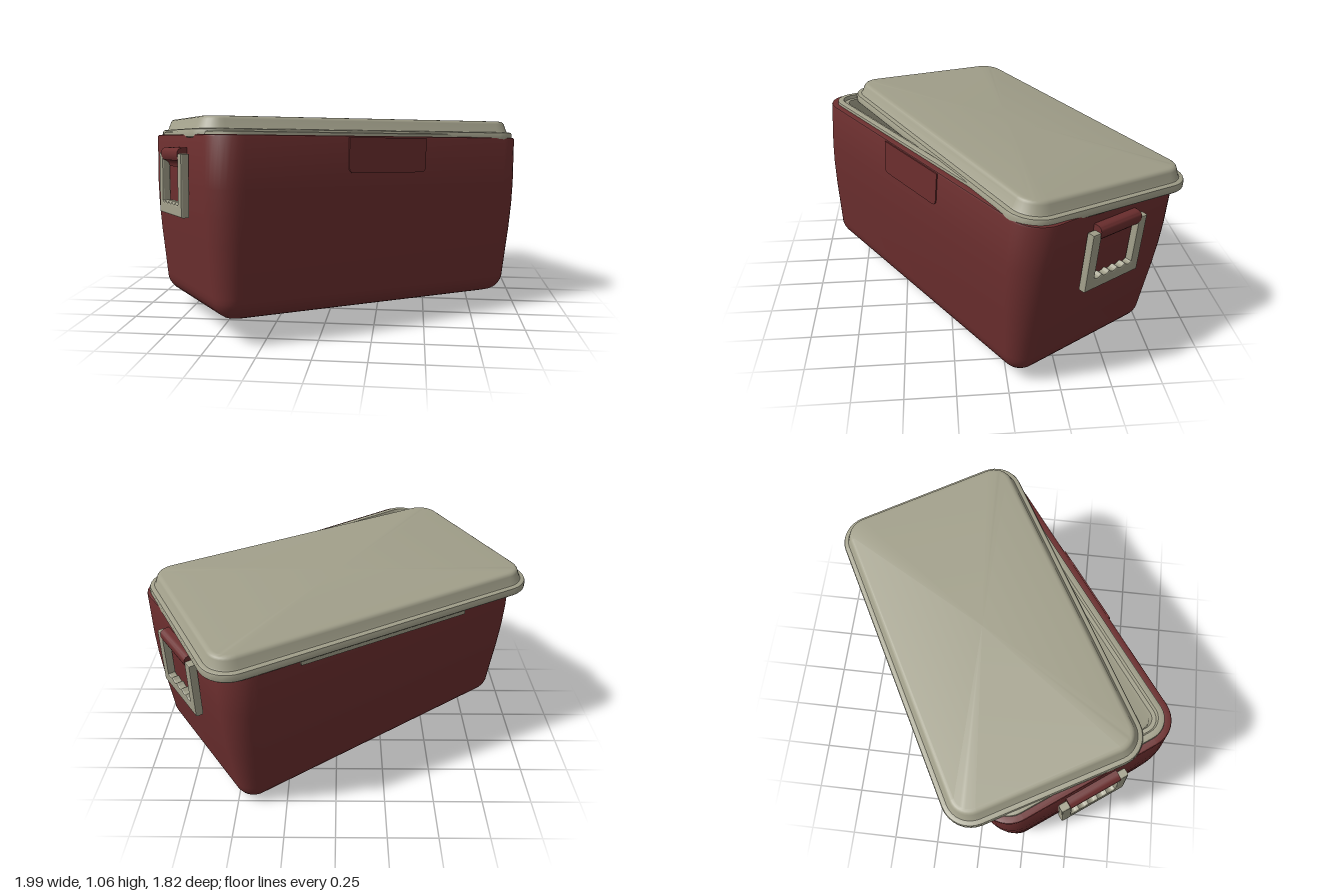
import * as THREE from 'three';
import { toCreasedNormals } from 'three/addons/utils/BufferGeometryUtils.js';

const red = new THREE.MeshStandardMaterial({ color: 0x6b2e2e });
red.name = 'dark red plastic';
const beige = new THREE.MeshStandardMaterial({ color: 0xa19f8a });
beige.name = 'beige plastic';

const HX = 0.905, HZ = 0.515, R = 0.15;

// Rounded rectangle ring, shrunk by an inset
function ring(y, inset, steps = 8) {
  const r = Math.max(R - inset, 0.05), cx = HX - inset - r, cz = HZ - inset - r;
  const pts = [];
  [[1, 1], [-1, 1], [-1, -1], [1, -1]].forEach(([sx, sz], q) => {
    for (let k = 0; k <= steps; k++) {
      const a = (q + k / steps) * Math.PI / 2;
      pts.push([sx * cx + r * Math.cos(a), y, sz * cz + r * Math.sin(a)]);
    }
  });
  return pts;
}

// Skin over [y, inset] sections, with optional caps at either end
function loft(sections, capStart, capEnd) {
  const rings = sections.map(([y, inset]) => ring(y, inset));
  const n = rings[0].length, pos = rings.flat(2), idx = [];
  for (let i = 0; i < rings.length - 1; i++) {
    for (let j = 0; j < n; j++) {
      const a = i * n + j, b = i * n + (j + 1) % n;
      idx.push(a, a + n, b, b, a + n, b + n);
    }
  }
  const cap = (i, flip) => {
    const c = pos.length / 3;
    pos.push(0, sections[i][0], 0);
    for (let j = 0; j < n; j++) {
      const a = i * n + j, b = i * n + (j + 1) % n;
      idx.push(c, flip ? b : a, flip ? a : b);
    }
  };
  if (capStart) cap(0, false);
  if (capEnd) cap(rings.length - 1, true);
  const g = new THREE.BufferGeometry();
  g.setAttribute('position', new THREE.Float32BufferAttribute(pos, 3));
  g.setIndex(idx);
  return toCreasedNormals(g, 0.6);
}

function add(parent, geometry, material, name) {
  const m = new THREE.Mesh(geometry, material);
  m.name = name;
  parent.add(m);
  return m;
}

// Swinging handle outline with finger grips along the lower bar
function handleShape() {
  const w = 0.178, i = 0.138, top = 0.765, low = 0.475, bar = 0.515;
  const s = new THREE.Shape();
  s.moveTo(-w, top);
  s.lineTo(-w, low);
  s.lineTo(w, low);
  s.lineTo(w, top);
  s.lineTo(i, top);
  s.lineTo(i, bar + 0.012);
  const grips = 5, step = 2 * i / grips;
  for (let k = 0; k < grips; k++) {
    const x = i - k * step;
    s.quadraticCurveTo(x - step / 2, bar - 0.012, x - step, bar + 0.012);
  }
  s.lineTo(-i, top);
  s.closePath();
  return s;
}

function endFittings() {
  const g = new THREE.Group();
  // Bracket that the handle hangs from
  const p = new THREE.Shape();
  p.moveTo(0.88, 0.70);
  p.lineTo(0.912, 0.705);
  p.quadraticCurveTo(0.92, 0.735, 0.945, 0.738);
  p.quadraticCurveTo(0.962, 0.765, 0.95, 0.79);
  p.quadraticCurveTo(0.94, 0.802, 0.92, 0.802);
  p.lineTo(0.88, 0.802);
  p.closePath();
  const bracket = new THREE.ExtrudeGeometry(p, { depth: 0.28, bevelEnabled: false, curveSegments: 6 });
  bracket.translate(0, 0, -0.14);
  add(g, toCreasedNormals(bracket, 0.6), red, 'handleBracket');
  const handle = new THREE.ExtrudeGeometry(handleShape(), {
    depth: 0.026, bevelThickness: 0.008, bevelSize: 0.008, bevelSegments: 2, curveSegments: 5,
  });
  handle.rotateY(Math.PI / 2);
  handle.translate(0.918, 0, 0);
  add(g, handle, beige, 'handle');
  return g;
}

export function createModel() {
  const model = new THREE.Group();
  model.name = 'coolBox';
  const box = new THREE.Group();
  box.name = 'box';
  box.rotation.set(-0.077, 0.611, 0);
  box.position.set(0.015, 0.055, 0.073);
  model.add(box);

  // Outer shell: rounded base, gently flaring walls, thin rim
  const shell = [], fillet = 0.11;
  for (let k = 0; k <= 7; k++) {
    const a = k / 7 * Math.PI / 2;
    shell.push([fillet * (1 - Math.cos(a)), 0.045 + fillet * (1 - Math.sin(a))]);
  }
  shell.push([0.22, 0.033], [0.36, 0.017], [0.5, 0.005], [0.62, 0], [0.855, 0], [0.862, 0.003], [0.865, 0.01], [0.865, 0.04]);
  add(box, loft(shell, true, false), red, 'shell');

  // Inner liner with raised rim and cavity
  add(box, loft([[0.855, 0.033], [0.878, 0.036], [0.882, 0.042], [0.882, 0.066], [0.865, 0.075],
    [0.865, 0.095], [0.84, 0.105], [0.12, 0.135], [0.1, 0.16]], false, true), beige, 'liner');

  // Front latch panel
  const t = new THREE.Shape(), w = 0.225, lo = 0.685, hi = 0.857, r = 0.03;
  t.moveTo(-w, hi);
  t.lineTo(-w, lo + r);
  t.quadraticCurveTo(-w, lo, -w + r, lo);
  t.lineTo(w - r, lo);
  t.quadraticCurveTo(w, lo, w, lo + r);
  t.lineTo(w, hi);
  t.closePath();
  const panel = new THREE.ExtrudeGeometry(t, { depth: 0.008, bevelEnabled: false });
  add(box, panel, red, 'latchPanel').position.z = HZ - 0.002;

  // Handles on both ends
  [0, Math.PI].forEach((turn, i) => {
    const end = endFittings();
    end.name = i ? 'rightHandle' : 'leftHandle';
    end.rotation.y = turn;
    box.add(end);
  });

  // Loose lid, turned and slid back, hollow underneath
  const lid = new THREE.Group();
  lid.name = 'lid';
  lid.position.set(0.028, 0.85, -0.082);
  lid.rotation.y = -0.112;
  box.add(lid);
  add(lid, loft([[0.075, 0.1], [0.065, 0.085], [0, 0.065], [0, 0.004], [0.005, 0], [0.032, 0], [0.04, 0.004],
    [0.043, 0.012], [0.044, 0.026], [0.05, 0.031], [0.088, 0.045], [0.097, 0.051], [0.102, 0.06],
    [0.104, 0.072]], true, true), beige, 'lidShell');
  const strip = add(lid, new THREE.BoxGeometry(0.92, 0.04, 0.018), beige, 'hingeStrip');
  strip.position.set(0, -0.012, -0.49);
  return model;
}
